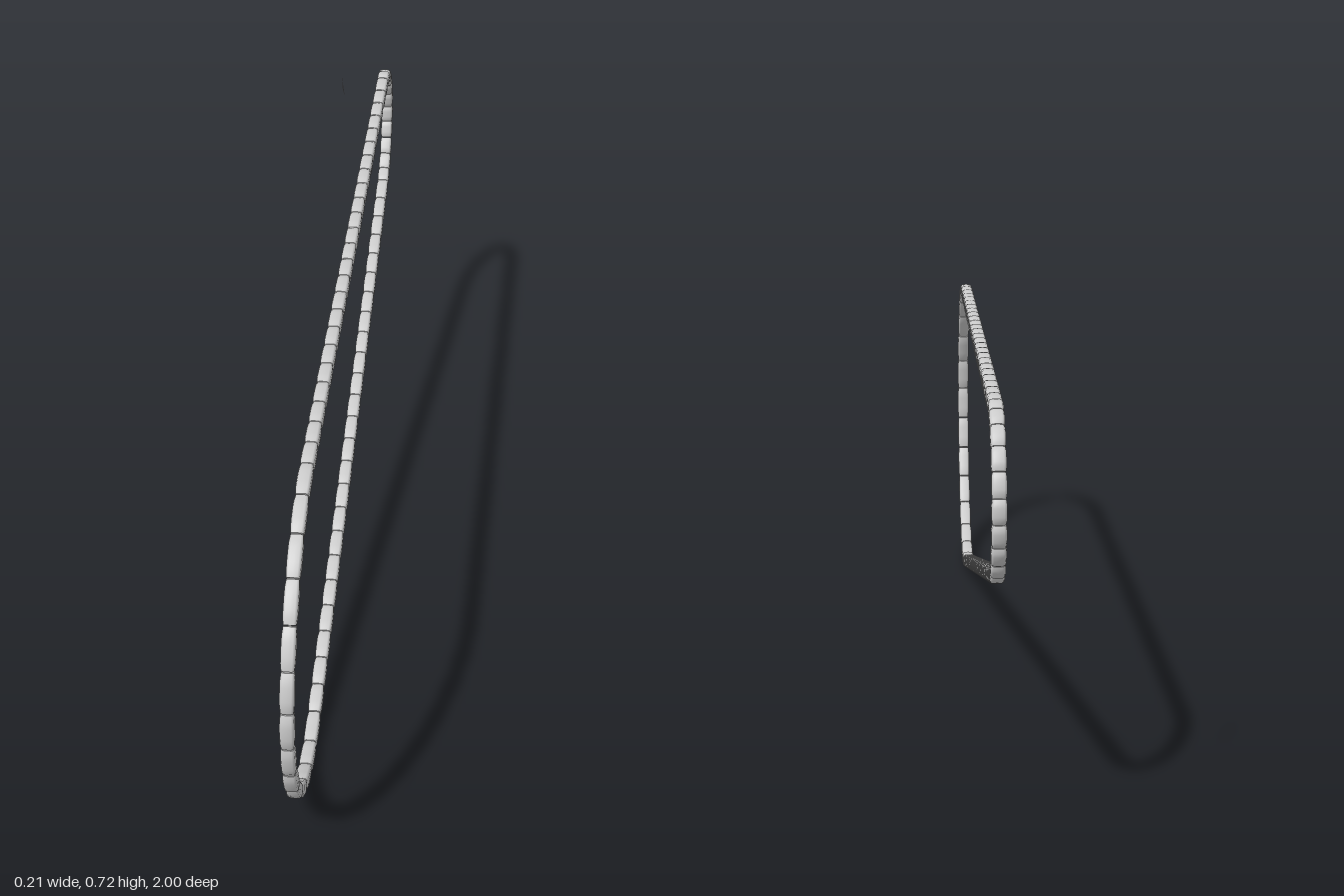
import * as THREE from 'three';

// The loop runs round two pulleys; h is measured towards the back (-z)
const front = { h: -0.67, y: 0.33, r: 0.315 };
const back = { h: 0.845, y: 0.57, r: 0.14 };
const tilt = Math.atan2(back.y - front.y, back.h - front.h);
const spread = Math.asin((front.r - back.r) / Math.hypot(back.h - front.h, back.y - front.y));
const topAngle = Math.PI / 2 + tilt - spread;
const bottomAngle = -Math.PI / 2 + tilt + spread;

const rim = (c, a) => ({ h: c.h + c.r * Math.cos(a), y: c.y + c.r * Math.sin(a), a });
const arc = (c, a0, a1) => (t) => rim(c, a0 + (a1 - a0) * t);
const line = (c0, c1, a) => (t) => {
  const p = rim(c0, a), q = rim(c1, a);
  return { h: p.h + (q.h - p.h) * t, y: p.y + (q.y - p.y) * t, a };
};

const runs = [
  { name: 'lowerLink', count: 24, path: line(front, back, bottomAngle) },
  { name: 'backLink', count: 10, path: arc(back, bottomAngle, topAngle) },
  { name: 'upperLink', count: 24, path: line(back, front, topAngle) },
  { name: 'frontLink', count: 14, path: arc(front, topAngle, bottomAngle + Math.PI * 2) },
];

// A barrel with a rounded-square section, bent along its stretch of the path
function linkGeometry(path, t0, t1) {
  const geo = new THREE.CylinderGeometry(1, 1, 1, 16, 6);
  const pos = geo.attributes.position;
  const square = (v) => Math.sign(v) * Math.sqrt(Math.abs(v));
  for (let i = 0; i < pos.count; i++) {
    const along = pos.getY(i);
    const taper = 1 - 0.3 * Math.pow(Math.abs(along * 2), 4);
    const out = 0.015 * square(pos.getX(i)) * taper;
    const side = 0.013 * square(pos.getZ(i)) * (0.6 + 0.4 * taper);
    const p = path(t0 + (t1 - t0) * (0.5 + along * 0.97));
    const z = -(p.h + out * Math.cos(p.a));
    // The whole loop lies in a plane turned slightly about the vertical
    pos.setXYZ(i, 0.04 + 0.052 * z + side, p.y + out * Math.sin(p.a), z - 0.052 * side);
  }
  geo.computeVertexNormals();
  return geo;
}

export function createModel() {
  const group = new THREE.Group();
  group.name = 'linkLoop';
  const material = new THREE.MeshStandardMaterial({ color: 0xcccccc });

  for (const { name, count, path } of runs) {
    const run = new THREE.Group();
    run.name = name + 's';
    for (let i = 0; i < count; i++) {
      const link = new THREE.Mesh(linkGeometry(path, i / count, (i + 1) / count), material);
      link.name = name;
      run.add(link);
    }
    group.add(run);
  }

  // Thin loose sliver beside the back bend
  const sliverGeo = new THREE.BufferGeometry().setFromPoints([
    new THREE.Vector3(-0.105, 0.7, -0.885),
    new THREE.Vector3(-0.105, 0.66, -0.9),
    new THREE.Vector3(-0.105, 0.63, -0.93),
  ]);
  sliverGeo.computeVertexNormals();
  const sliver = new THREE.Mesh(sliverGeo, new THREE.MeshStandardMaterial({ color: 0xcccccc, side: THREE.DoubleSide }));
  sliver.name = 'sliver';
  group.add(sliver);
  return group;
}
